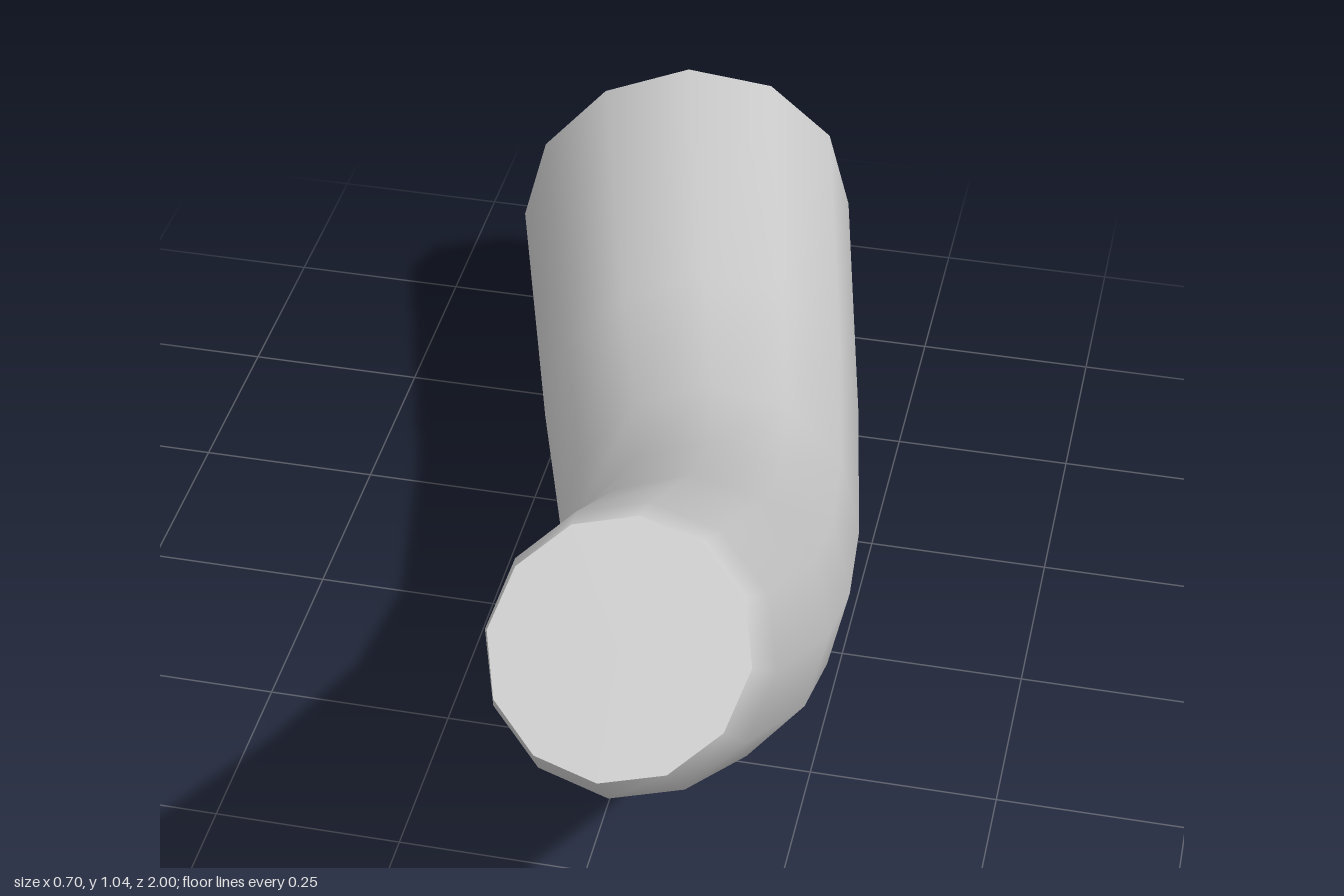
import * as THREE from 'three';

const SIDES = 12;

// Cross-sections from front to back: centre, radius, facing direction
const SECTIONS = [
  { c: [0.19, 0.955, 0.9], r: 0.135, n: [0, 0.73, 0.68] },
  { c: [0.195, 0.93, 0.87], r: 0.15, n: [0, 0.67, 0.74] },
  { c: [0.173, 0.66, 0.5], r: 0.167, n: [0.08, 0.59, 0.8] },
  { c: [0.14, 0.465, 0.2], r: 0.178, n: [0.13, 0.46, 0.88] },
  { c: [0.096, 0.345, -0.06], r: 0.194, n: [0.18, 0.34, 0.93] },
  { c: [0.015, 0.267, -0.41], r: 0.218, n: [0.24, 0.12, 0.96] },
  { c: [-0.115, 0.25, -0.935], r: 0.245, n: [0.27, 0, 0.96] },
];

// Points of one ring, counter-clockwise as seen from the front
function ring({ c, r, n }) {
  const centre = new THREE.Vector3(...c);
  const normal = new THREE.Vector3(...n).normalize();
  const side = new THREE.Vector3(0, 1, 0).cross(normal).normalize();
  const up = normal.clone().cross(side);
  return Array.from({ length: SIDES }, (_, j) => {
    const a = (j / SIDES) * Math.PI * 2;
    return centre.clone()
      .addScaledVector(side, r * Math.cos(a))
      .addScaledVector(up, r * Math.sin(a));
  });
}

function makeMesh(name, points, index, material) {
  const geometry = new THREE.BufferGeometry().setFromPoints(points);
  geometry.setIndex(index);
  geometry.computeVertexNormals();
  const mesh = new THREE.Mesh(geometry, material);
  mesh.name = name;
  return mesh;
}

// Flat end disc closing one ring
function makeCap(name, section, facesFront, material) {
  const points = [new THREE.Vector3(...section.c), ...ring(section)];
  const index = [];
  for (let j = 0; j < SIDES; j++) {
    const a = 1 + j, b = 1 + ((j + 1) % SIDES);
    index.push(0, ...(facesFront ? [a, b] : [b, a]));
  }
  return makeMesh(name, points, index, material);
}

export function createModel() {
  const group = new THREE.Group();
  group.name = 'bentTube';
  const material = new THREE.MeshStandardMaterial({ color: 0xcccccc });

  // Curved body, widening towards the back
  const points = SECTIONS.flatMap(ring);
  const index = [];
  for (let i = 0; i < SECTIONS.length - 1; i++) {
    for (let j = 0; j < SIDES; j++) {
      const k = (j + 1) % SIDES;
      const a = i * SIDES + j, b = i * SIDES + k;
      const c = a + SIDES, d = b + SIDES;
      index.push(a, c, b, b, c, d);
    }
  }
  group.add(makeMesh('curvedBody', points, index, material));

  // End caps
  group.add(makeCap('frontCap', SECTIONS[0], true, material));
  group.add(makeCap('backCap', SECTIONS[SECTIONS.length - 1], false, material));
  return group;
}
